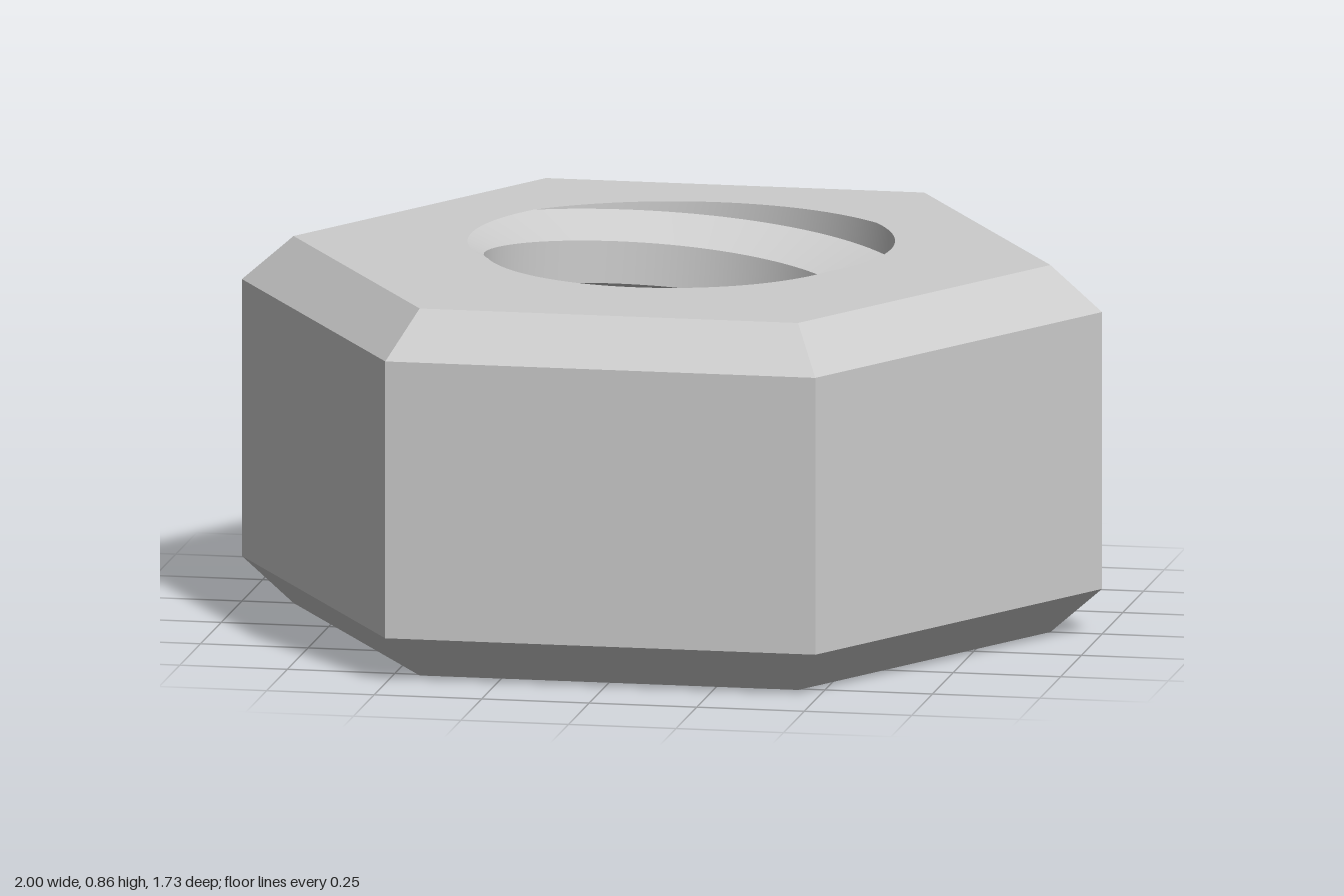
import * as THREE from 'three';

const H = 0.855;             // nut height
const PITCH = H / 3.25;      // thread rise per turn
const CREST = 0.43, ROOT = 0.565;
const SEG = 128;             // steps per turn
const TAU = Math.PI * 2;

// Thread profile over one pitch: [height fraction, radius]
const profile = [
  [-0.3125, CREST], [-0.125, ROOT], [0.125, ROOT], [0.3125, CREST], [0.6875, CREST],
];

// Bore radius at a height and angle
function boreRadius(y, angle) {
  let u = y / PITCH - angle / TAU;
  u = Math.abs(u - Math.round(u));
  const k = THREE.MathUtils.clamp((u - 0.125) / 0.1875, 0, 1);
  return THREE.MathUtils.lerp(ROOT, CREST, k);
}

// One helical band of the thread, cut off flush with both faces
function threadBand([u0, r0], [u1, r1]) {
  const pos = [], index = [], heights = [];
  const first = -SEG, last = 5 * SEG;
  for (let i = first; i <= last; i++) {
    const angle = (i / SEG) * TAU;
    const y0 = PITCH * (i / SEG + u0), y1 = PITCH * (i / SEG + u1);
    const ys = [y0, y1].map((y) => THREE.MathUtils.clamp(y, 0, H));
    for (const y of ys) {
      const k = THREE.MathUtils.clamp((y - y0) / (y1 - y0), 0, 1);
      const r = THREE.MathUtils.lerp(r0, r1, k);
      pos.push(r * Math.cos(angle), y, -r * Math.sin(angle));
    }
    heights.push(ys[1] - ys[0]);
  }
  for (let i = 0; i < last - first; i++) {
    const a = 2 * i, d = a + 1, b = a + 2, c = a + 3;
    if (heights[i] > 1e-6) index.push(a, d, b);
    if (heights[i + 1] > 1e-6) index.push(b, d, c);
  }
  const g = new THREE.BufferGeometry();
  g.setAttribute('position', new THREE.Float32BufferAttribute(pos, 3));
  g.setIndex(index);
  g.computeVertexNormals();
  return g;
}

// Flat hexagonal face with the threaded bore cut out; side is 1 for top, -1 for bottom
function endFace(y, side) {
  const ring = (n, radius) => Array.from({ length: n }, (_, i) => {
    const a = (i / n) * TAU, r = radius(a);
    return new THREE.Vector2(r * Math.cos(a), side * r * Math.sin(a));
  });
  const shape = new THREE.Shape(ring(6, () => 0.88));
  shape.holes.push(new THREE.Path(ring(SEG, (a) => boreRadius(y, a))));
  return new THREE.ShapeGeometry(shape).rotateX(-side * Math.PI / 2).translate(0, y, 0);
}

export function createModel() {
  const group = new THREE.Group();
  group.name = 'hexNut';
  const steel = new THREE.MeshStandardMaterial({ color: 0xcccccc });
  steel.name = 'steel';
  const add = (name, geometry) => {
    const mesh = new THREE.Mesh(geometry, steel);
    mesh.name = name;
    group.add(mesh);
  };

  // Six sides with chamfers above and below
  const outline = [[0.88, 0], [1, 0.105], [1, 0.75], [0.88, H]].map(([r, y]) => new THREE.Vector2(r, y));
  const sides = new THREE.LatheGeometry(outline, 6, Math.PI / 2).toNonIndexed();
  sides.computeVertexNormals();
  add('hexSides', sides);

  add('topFace', endFace(H, 1));
  add('bottomFace', endFace(0, -1));

  // Internal thread
  ['threadLowerFlank', 'threadRoot', 'threadUpperFlank', 'threadCrest'].forEach((name, i) => {
    add(name, threadBand(profile[i], profile[i + 1]));
  });
  return group;
}
